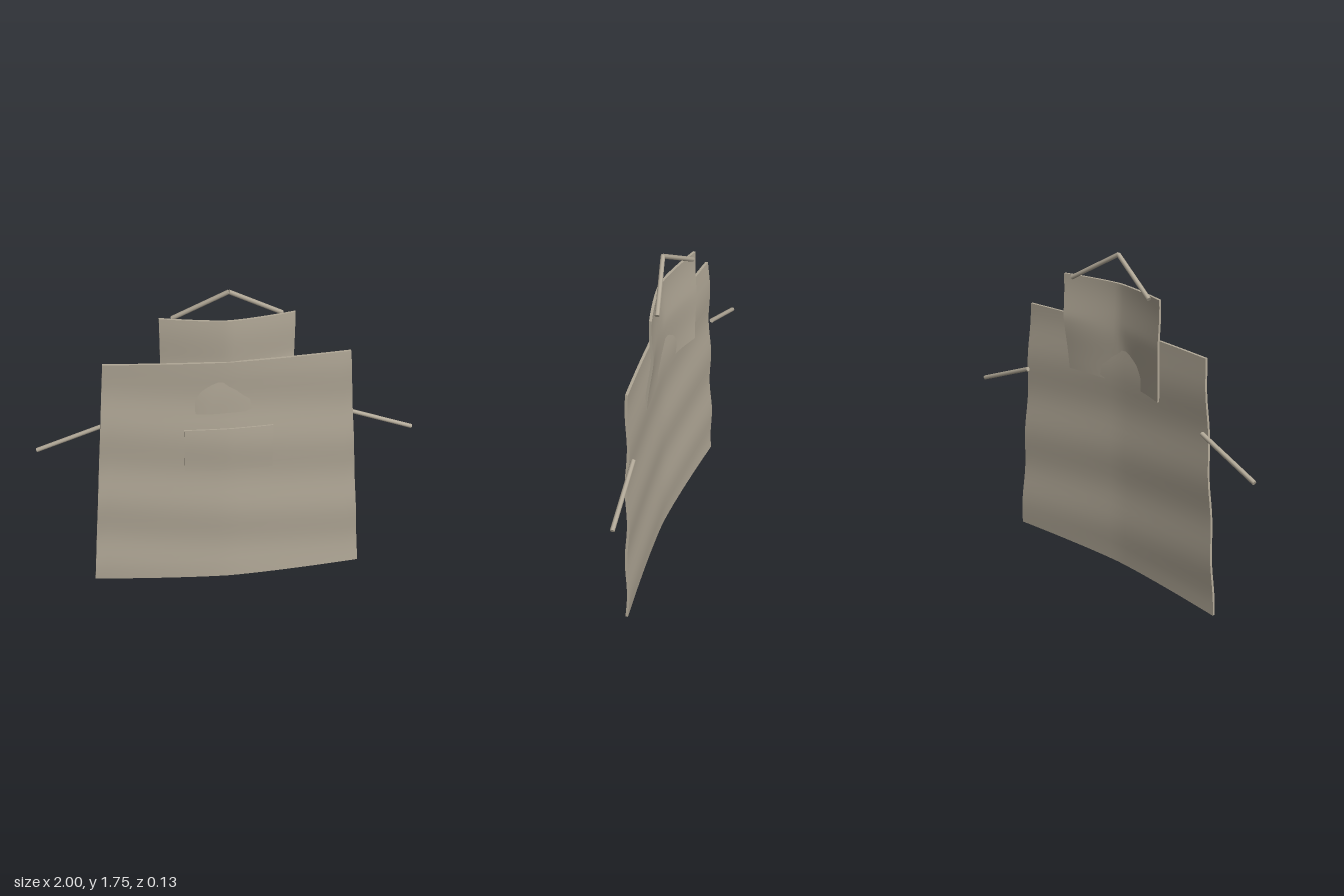
import * as THREE from 'three';

const cloth = new THREE.MeshStandardMaterial({ color: 0xb0a796 });
cloth.name = 'linen';

// Gently bowed, rippled surface of the main cloth
const skirtZ = (x, y) =>
  0.04 - 0.055 * Math.pow(Math.abs(x) / 0.74, 1.4)
  + 0.006 * Math.cos(14 * y + 1.5 * x);

// The bib bows more tightly; its crest drifts to the right side lower down
function bibZ(x, y) {
  const k = THREE.MathUtils.clamp((1.36 - y) / 0.3, 0, 1);
  const c = -0.1 * k;
  const u = x > c ? (x - c) / (0.34 - c) : (c - x) / (0.34 + c);
  const bend = x > c ? 0.065 - 0.035 * k : 0.065;
  return 0.042 - bend * Math.pow(u, 1.4) + 0.005 * Math.sin(14 * (y - 1.42)) * (1 - k);
}

// Thin cloth panel: a box grid tapered from bottom to top and draped by surface(x, y)
function panel(name, y0, y1, halfBottom, halfTop, thick, surface) {
  const g = new THREE.BoxGeometry(2, 1, thick, 24, 24, 1);
  const p = g.attributes.position;
  for (let i = 0; i < p.count; i++) {
    const t = p.getY(i) + 0.5;
    const x = p.getX(i) * THREE.MathUtils.lerp(halfBottom, halfTop, t);
    const y = THREE.MathUtils.lerp(y0, y1, t);
    p.setXYZ(i, x, y, surface(x, y) + p.getZ(i));
  }
  g.computeVertexNormals();
  const m = new THREE.Mesh(g, cloth);
  m.name = name;
  return m;
}

// Round cord between two points
function cord(name, a, b) {
  const from = new THREE.Vector3(...a), to = new THREE.Vector3(...b);
  const dir = to.clone().sub(from);
  const m = new THREE.Mesh(new THREE.CylinderGeometry(0.012, 0.012, dir.length(), 8), cloth);
  m.position.copy(from).add(to).multiplyScalar(0.5);
  m.quaternion.setFromUnitVectors(new THREE.Vector3(0, 1, 0), dir.normalize());
  m.name = name;
  return m;
}

export function createModel() {
  const apron = new THREE.Group();
  apron.name = 'apron';

  apron.add(
    panel('skirt', 0, 1.36, 0.74, 0.63, 0.014, skirtZ),
    panel('bib', 1.06, 1.59, 0.34, 0.34, 0.014, bibZ),
    panel('pocket', 0.71, 0.97, 0.232, 0.232, 0.012, (x, y) => skirtZ(x, y) + 0.009)
  );

  // Neck strap halves and waist ties
  for (const [side, s] of [['left', 1], ['right', -1]]) {
    apron.add(
      cord(side + 'NeckStrap', [s * 0.275, 1.582, -0.03], [0, 1.742, 0.034]),
      cord(side + 'WaistTie', [s * 0.64, 0.984, -0.032], [s * 0.995, 0.845, -0.053])
    );
  }
  return apron;
}
